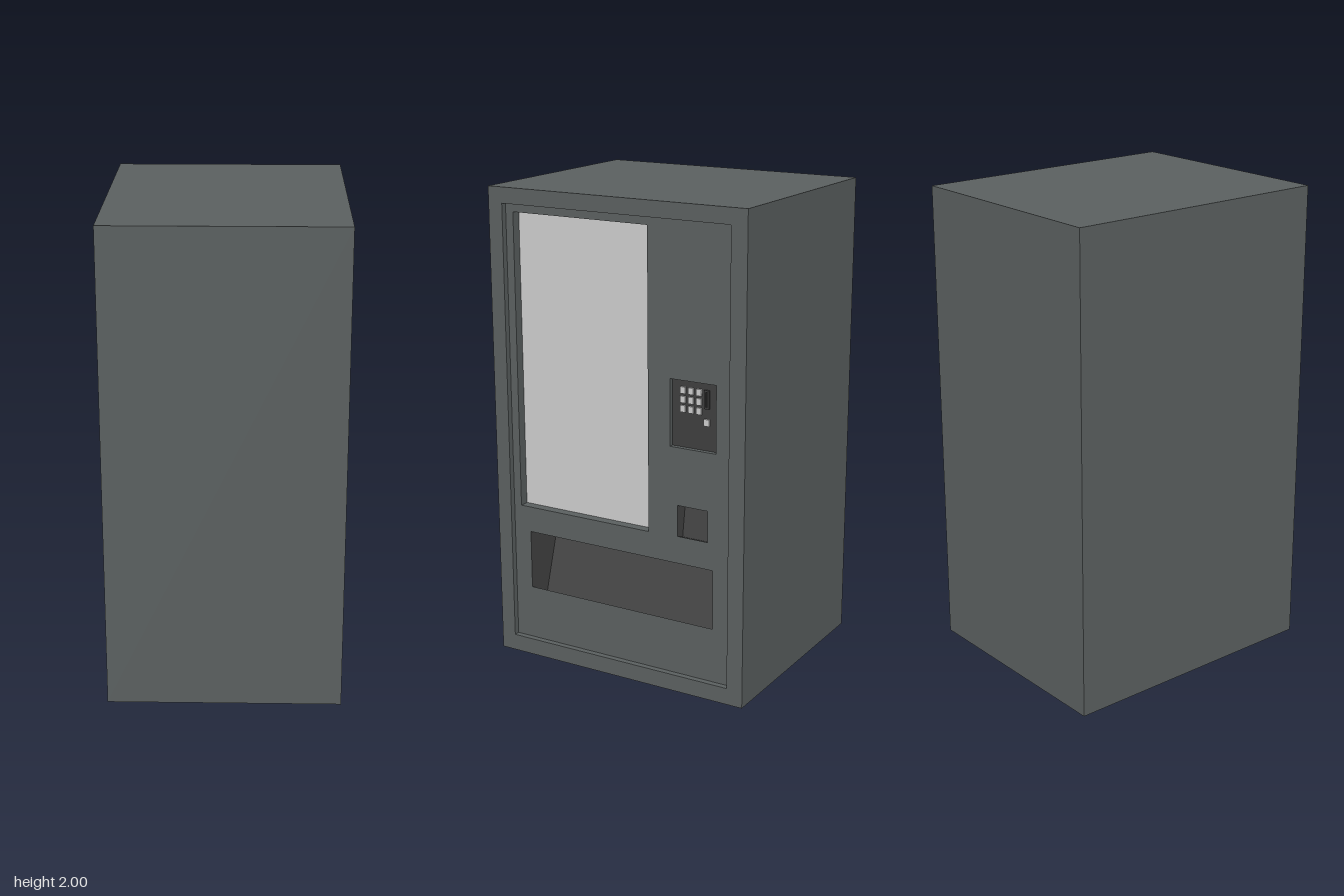
import * as THREE from 'three';

const material = (color) => new THREE.MeshStandardMaterial({ color });

// Rectangles are [left, bottom, right, top] as seen facing the service side
const OUTER = [-0.585, 0, 0.585, 2];
const DOOR = [-0.52, 0.07, 0.515, 1.935];
const WINDOW = [-0.485, 0.66, 0.14, 1.9];
const KEYPAD = [0.24, 1.035, 0.445, 1.31];
const COIN = [0.275, 0.665, 0.41, 0.795];
const TRAY = [-0.44, 0.3, 0.435, 0.55];
const FRONT = 0.48;
const DOOR_Z = FRONT - 0.025;
const PANEL_Z = DOOR_Z - 0.02;

const corners = ([l, b, r, t]) => [[l, b], [r, b], [r, t], [l, t]];
const toPoints = (rect) => corners(rect).map(([x, y]) => new THREE.Vector2(x, y));

// Flat rectangular sheet with rectangular openings
function sheet(rect, holes, z) {
  const shape = new THREE.Shape(toPoints(rect));
  for (const hole of holes) shape.holes.push(new THREE.Path(toPoints(hole)));
  return new THREE.ShapeGeometry(shape).translate(0, 0, z);
}

// Flat-shaded geometry from four-cornered faces
function quads(faces) {
  const positions = faces.flatMap(([a, b, c, d]) => [a, b, c, a, c, d].flat());
  const geometry = new THREE.BufferGeometry();
  geometry.setAttribute('position', new THREE.Float32BufferAttribute(positions, 3));
  geometry.computeVertexNormals();
  return geometry;
}

// Inward-facing walls of a recess, and the face closing its back
function recess(rect, z, [bottomY, bottomZ], [topY, topZ]) {
  const [l, , r] = rect;
  const front = corners(rect).map(([x, y]) => [x, y, z]);
  const back = [[l, bottomY, bottomZ], [r, bottomY, bottomZ], [r, topY, topZ], [l, topY, topZ]];
  const walls = front.map((p, i) => {
    const j = (i + 1) % 4;
    return [p, front[j], back[j], back[i]];
  });
  return { walls: quads(walls), back: quads([back]) };
}

const straight = (rect, z, backZ) => recess(rect, z, [rect[1], backZ], [rect[3], backZ]);

export function createModel() {
  const root = new THREE.Group();
  root.name = 'vendingMachine';
  const machine = new THREE.Group();
  machine.name = 'machine';
  machine.rotation.y = Math.PI / 2; // service side faces +x
  root.add(machine);

  const bodyMat = material(0x5a5f5f);
  const panelMat = material(0x3e3e3e);
  const darkMat = material(0x424242);
  const lightMat = material(0xcccccc);

  const add = (name, geometry, mat) => {
    const mesh = new THREE.Mesh(geometry, mat);
    mesh.name = name;
    machine.add(mesh);
    return mesh;
  };

  // Cabinet: a box with its service side left open
  const box = new THREE.BoxGeometry(OUTER[2] * 2, 2, FRONT * 2).translate(0, 1, 0);
  const index = Array.from(box.index.array);
  index.splice(24, 6);
  box.setIndex(index);
  box.clearGroups();
  add('cabinet', box, bodyMat);

  // Rim and door
  add('rim', sheet(OUTER, [DOOR], FRONT), bodyMat);
  add('rimInside', straight(DOOR, FRONT, DOOR_Z).walls, bodyMat);
  add('door', sheet(DOOR, [WINDOW, KEYPAD, COIN, TRAY], DOOR_Z), bodyMat);

  // Display window
  const display = straight(WINDOW, DOOR_Z, DOOR_Z - 0.04);
  add('windowFrame', display.walls, bodyMat);
  add('windowPane', display.back, lightMat);

  // Payment panel
  const panel = straight(KEYPAD, DOOR_Z, PANEL_Z);
  add('panelFrame', panel.walls, bodyMat);
  add('panel', panel.back, panelMat);

  // Delivery tray and coin return, with sloping floor, back and ceiling
  const pockets = [
    ['tray', TRAY, [0.243, DOOR_Z - 0.11], [0.525, DOOR_Z - 0.2]],
    ['coinReturn', COIN, [0.65, DOOR_Z - 0.04], [0.78, DOOR_Z - 0.06]],
  ];
  for (const [name, rect, bottom, top] of pockets) {
    const pocket = recess(rect, DOOR_Z, bottom, top);
    add(name + 'Walls', pocket.walls, darkMat);
    add(name + 'Back', pocket.back, darkMat);
  }

  // Keypad buttons and the single button under the coin slot
  const key = (name, x, y) => {
    const geometry = new THREE.BoxGeometry(0.023, 0.027, 0.008);
    add(name, geometry, lightMat).position.set(x, y, PANEL_Z + 0.004);
  };
  for (let row = 0; row < 3; row++) {
    for (let col = 0; col < 3; col++) key('keypadButton', 0.289 + col * 0.036, 1.267 - row * 0.0375);
  }
  key('returnButton', 0.395, 1.15);

  // Coin slot: a raised surround with a narrow opening
  const slot = new THREE.Shape(toPoints([0.384, 1.205, 0.406, 1.28]));
  slot.holes.push(new THREE.Path(toPoints([0.391, 1.212, 0.399, 1.273])));
  const slotGeometry = new THREE.ExtrudeGeometry(slot, { depth: 0.008, bevelEnabled: false });
  add('coinSlot', slotGeometry, panelMat).position.z = PANEL_Z;

  return root;
}
